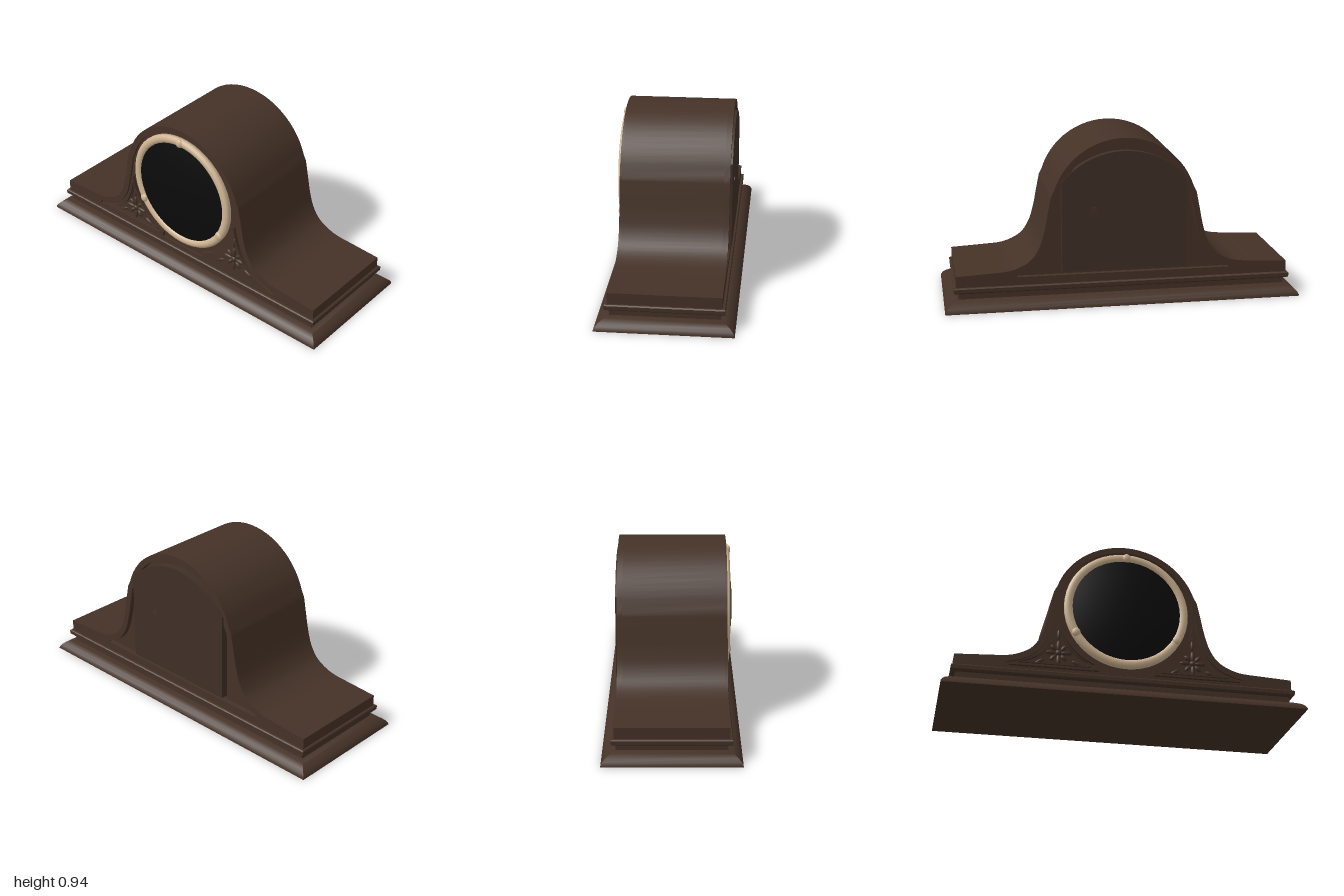
import * as THREE from 'three';
import { toCreasedNormals } from 'three/addons/utils/BufferGeometryUtils.js';

const wood = new THREE.MeshStandardMaterial({ color: 0x453227 });
wood.name = 'dark wood';
const doorWood = new THREE.MeshStandardMaterial({ color: 0x403026 });
doorWood.name = 'door wood';
const cream = new THREE.MeshStandardMaterial({ color: 0xd2b795 });
cream.name = 'cream bezel';
const black = new THREE.MeshStandardMaterial({ color: 0x0b0b0b });
black.name = 'black glass';

const DIAL_Y = 0.5375;
const V = (x, y) => new THREE.Vector2(x, y);

function add(parent, name, geometry, material, x = 0, y = 0, z = 0) {
  const mesh = new THREE.Mesh(geometry, material);
  mesh.name = name;
  mesh.position.set(x, y, z);
  parent.add(mesh);
  return mesh;
}

// Flat slab between two z planes with creased edges
function slab(shape, z0, z1) {
  const g = new THREE.ExtrudeGeometry(shape, { depth: z1 - z0, bevelEnabled: false, curveSegments: 32 });
  g.translate(0, 0, z0);
  return toCreasedNormals(g, 0.5);
}

// Right half of the shoulder and arch line, from the foot up to the crown
function halfCurve() {
  const flare = [V(0.75, 0.203), V(0.63, 0.214), V(0.53, 0.26), V(0.475, 0.335),
    V(0.445, 0.43), V(0.425, 0.53), V(0.407, 0.62)];
  const pts = new THREE.SplineCurve(flare).getPoints(24);
  for (let i = 1; i <= 14; i++) {
    const a = THREE.MathUtils.lerp(0.22, Math.PI / 2, i / 14);
    pts.push(V(0.41 * Math.cos(a), 0.526 + 0.41 * Math.sin(a)));
  }
  return pts;
}

// Mirror a half line that ends at the crown into a full outline
function mirrored(half) {
  const left = half.slice(0, -1).reverse().map((p) => V(-p.x, p.y));
  return [...half, ...left];
}

// Inset the half curve by d and stop it at the given floor height
function insetCurve(d, floor) {
  const c = halfCurve();
  const pts = c.map((p, i) => {
    const t = c[Math.min(i + 1, c.length - 1)].clone().sub(c[Math.max(i - 1, 0)]).normalize();
    return V(p.x - t.y * d, p.y + t.x * d);
  }).filter((p) => p.y > floor + 0.005 && p.x < 0.66);
  pts[pts.length - 1].x = 0;
  return [V(pts[0].x + 0.01, floor), ...pts];
}

// Stack of mitred rectangles; profile holds [half depth, height]
function moulding(profile) {
  const pos = [];
  const ring = ([z, y]) => {
    const x = z + 0.632;
    return [[x, y, z], [x, y, -z], [-x, y, -z], [-x, y, z]];
  };
  const quad = (a, b, c, d) => pos.push(...a, ...b, ...c, ...a, ...c, ...d);
  const rings = profile.map(ring);
  for (let i = 0; i < rings.length - 1; i++) {
    for (let k = 0; k < 4; k++) {
      const n = (k + 1) % 4;
      quad(rings[i][k], rings[i][n], rings[i + 1][n], rings[i + 1][k]);
    }
  }
  const [b, t] = [rings[0], rings[rings.length - 1]];
  quad(b[3], b[2], b[1], b[0]);
  quad(t[0], t[1], t[2], t[3]);
  const g = new THREE.BufferGeometry();
  g.setAttribute('position', new THREE.Float32BufferAttribute(pos, 3));
  return toCreasedNormals(g, 0.6);
}

// Curved triangular frame beside the dial
function spandrelPoints(side) {
  const pts = [V(0.64, 0.157), V(0.15, 0.157)];
  for (let i = 0; i <= 12; i++) {
    const a = THREE.MathUtils.degToRad(-67 + (55 * i) / 12);
    pts.push(V(0.383 * Math.cos(a), DIAL_Y + 0.383 * Math.sin(a)));
  }
  const edge = new THREE.SplineCurve([V(0.38, 0.47), V(0.4, 0.385), V(0.44, 0.29), V(0.51, 0.215), V(0.64, 0.157)]);
  pts.push(...edge.getPoints(12).slice(0, -1));
  return pts.map((p) => V(p.x * side, p.y));
}

function carving(side) {
  const group = new THREE.Group();
  group.name = side > 0 ? 'leftCarving' : 'rightCarving';
  const cx = 0.375 * side, cy = 0.25;
  const pts = spandrelPoints(side);
  const scaled = (s) => pts.map((p) => V(cx + (p.x - cx) * s, cy + (p.y - cy) * s));
  const frame = new THREE.Shape(pts);
  frame.holes.push(new THREE.Path(scaled(0.86)));
  add(group, 'carvedFrame', slab(frame, 0.285, 0.305), wood);
  const inner = new THREE.Shape(scaled(0.78));
  inner.holes.push(new THREE.Path(scaled(0.72)));
  add(group, 'innerBead', slab(inner, 0.285, 0.298), wood);

  // Flower with eight petals
  const ball = new THREE.SphereGeometry(1, 12, 8);
  for (let i = 0; i < 8; i++) {
    const a = (i * Math.PI) / 4;
    const petal = add(group, 'petal', ball, wood, cx - Math.sin(a) * 0.042, cy + Math.cos(a) * 0.042, 0.291);
    petal.scale.set(0.012, i % 2 ? 0.022 : 0.032, 0.01);
    petal.rotation.z = a;
  }
  add(group, 'flowerCentre', ball, wood, cx, cy, 0.293).scale.set(0.017, 0.017, 0.012);
  // Leaves reaching into the corners
  for (const [dx, dy] of [[0, 0.11], [-0.1, -0.055], [0.1, -0.055]]) {
    const leaf = add(group, 'leaf', ball, wood, cx + dx * side, cy + dy, 0.289);
    leaf.scale.set(0.01, 0.03, 0.009);
    leaf.rotation.z = Math.atan2(-dx * side, dy);
  }
  return group;
}

export function createModel() {
  const clock = new THREE.Group();
  clock.name = 'mantelClock';

  // Stepped base
  add(clock, 'plinth', moulding([[0.368, 0], [0.367, 0.008], [0.358, 0.024], [0.342, 0.039],
    [0.318, 0.053], [0.292, 0.061]]), wood);
  add(clock, 'baseNeck', moulding([[0.291, 0.058], [0.291, 0.098]]), wood);
  add(clock, 'baseBead', moulding([[0.306, 0.095], [0.316, 0.103], [0.317, 0.124], [0.312, 0.13]]), wood);

  // Body core with raised rims on the front and the back
  const outline = () => new THREE.Shape(mirrored([V(0.935, 0.128), V(0.935, 0.193), ...halfCurve()]));
  add(clock, 'body', slab(outline(), -0.27, 0.288), wood);
  const frontRim = outline();
  frontRim.holes.push(new THREE.Path(mirrored(insetCurve(0.035, 0.15))));
  add(clock, 'frontRim', slab(frontRim, 0.288, 0.3), wood);
  const backRim = outline();
  backRim.holes.push(new THREE.Path(mirrored(insetCurve(0.035, 0.175))));
  add(clock, 'backRim', slab(backRim, -0.3, -0.27), wood);

  // Back door with a shallow arched top and a small knob
  const door = new THREE.Shape();
  door.moveTo(-0.35, 0.195);
  door.lineTo(0.35, 0.195);
  door.lineTo(0.35, 0.7);
  const r = 0.454, a = Math.asin(0.35 / r);
  door.absarc(0, 0.865 - r, r, Math.PI / 2 - a, Math.PI / 2 + a, false);
  door.closePath();
  add(clock, 'backDoor', slab(door, -0.31, -0.265), doorWood);
  const knob = add(clock, 'doorKnob', new THREE.CylinderGeometry(0.018, 0.018, 0.01, 16), wood, 0.17, 0.54, -0.309);
  knob.rotation.x = Math.PI / 2;

  // Bezel ring, its three knots, and the domed glass
  const dial = new THREE.Group();
  dial.name = 'dial';
  dial.position.set(0, DIAL_Y, 0);
  clock.add(dial);
  const ring = [V(0.3, 0.285), V(0.35, 0.285), V(0.351, 0.305), V(0.344, 0.315), V(0.33, 0.32),
    V(0.316, 0.318), V(0.306, 0.312), V(0.3, 0.3)];
  const bezel = add(dial, 'bezel', new THREE.LatheGeometry(ring, 48), cream);
  bezel.rotation.x = Math.PI / 2;
  for (let i = 0; i < 3; i++) {
    const t = Math.PI / 2 + (i * Math.PI * 2) / 3;
    const knot = add(dial, 'bezelKnot', new THREE.SphereGeometry(1, 14, 10), cream,
      0.326 * Math.cos(t), 0.326 * Math.sin(t), 0.313);
    knot.scale.set(0.024, 0.026, 0.015);
  }
  const dome = [];
  for (let i = 0; i <= 10; i++) {
    const s = 1 - i / 10;
    dome.push(V(0.308 * s, 0.308 + 0.032 * (1 - s * s)));
  }
  const glass = add(dial, 'glass', new THREE.LatheGeometry(dome, 48), black);
  glass.rotation.x = Math.PI / 2;

  // Carved corners either side of the dial
  for (const side of [1, -1]) clock.add(carving(side));
  return clock;
}
